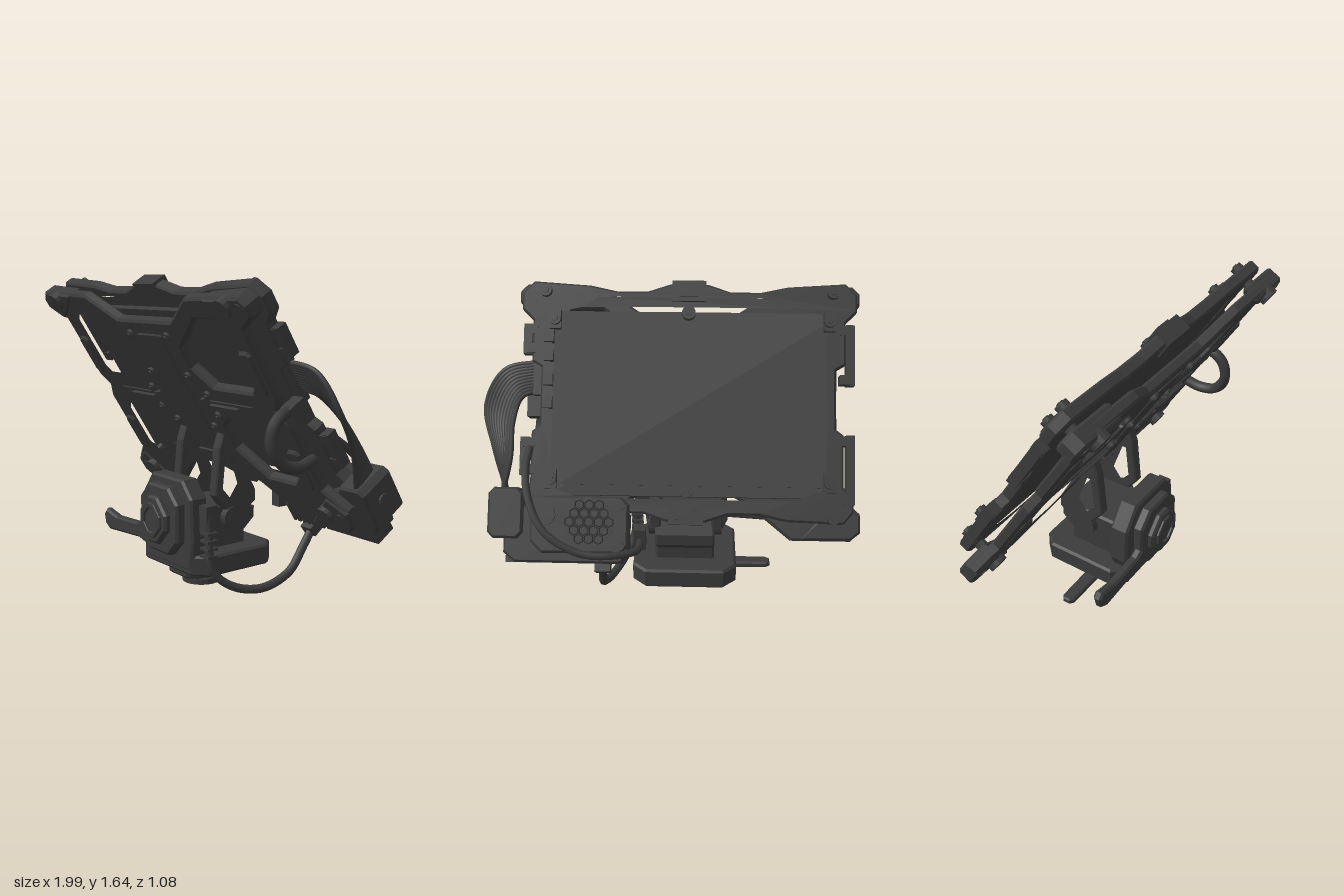
import * as THREE from 'three';

const graphite = new THREE.MeshStandardMaterial({ color: 0x3b3b3b, flatShading: true });
graphite.name = 'graphite';
const cableGrey = new THREE.MeshStandardMaterial({ color: 0x393939 });
cableGrey.name = 'cable grey';

function add(parent, name, geo, x = 0, y = 0, z = 0, mat = graphite) {
  const m = new THREE.Mesh(geo, mat);
  m.name = name;
  m.position.set(x, y, z);
  parent.add(m);
  return m;
}
const box = (p, name, w, h, d, x, y, z) => add(p, name, new THREE.BoxGeometry(w, h, d), x, y, z);

// cylinder along the chosen axis
function disc(p, name, r, len, axis, x, y, z, seg = 16) {
  const g = new THREE.CylinderGeometry(r, r, len, seg);
  if (axis === 'x') g.rotateZ(Math.PI / 2);
  if (axis === 'z') g.rotateX(Math.PI / 2);
  return add(p, name, g, x, y, z);
}

// bevelled plate from an outline, spanning z0..z1
function plate(p, name, pts, z0, z1, holes = [], bevel = 0.012) {
  const toV = a => a.map(q => new THREE.Vector2(q[0], q[1]));
  const s = new THREE.Shape(toV(pts));
  holes.forEach(h => s.holes.push(new THREE.Path(toV(h))));
  const g = new THREE.ExtrudeGeometry(s, {
    depth: z1 - z0 - 2 * bevel, bevelEnabled: true, bevelSize: bevel,
    bevelThickness: bevel, bevelOffset: -bevel, bevelSegments: 1,
  });
  g.translate(0, 0, z0 + bevel);
  return add(p, name, g);
}
const flip = h => h.map(([x, y]) => [-x, y]);
// right half of an outline -> whole outline
const mirror = h => [...h, ...flip(h).reverse()];
const chamferRect = (w, h, c) => [[w, h - c], [w - c, h], [c - w, h], [-w, h - c],
  [-w, c - h], [c - w, -h], [w - c, -h], [w, c - h]];

function cable(p, name, pts, r) {
  const c = new THREE.CatmullRomCurve3(pts.map(q => new THREE.Vector3(...q)));
  add(p, name, new THREE.TubeGeometry(c, 40, r, 8), 0, 0, 0, cableGrey);
}

function bolt(p, x, y, z, r, dir) {
  disc(p, 'bolt', r, 0.04, 'z', x, y, z, 14);
  disc(p, 'boltSocket', r * 0.5, 0.012, 'z', x, y, z + dir * 0.021, 6);
}

function buildPanel() {
  const g = new THREE.Group();
  g.name = 'tiltedPanel';

  // underside X-shaped frame with thicker corners
  const upper = [[0.62, 0.61], [0.46, 0.61], [0.22, 0.43], [0.22, 0.31], [0.32, 0.2], [0.62, 0.2], [0.66, 0.25], [0.66, 0.57]];
  const lower = [[0.62, 0], [0.3, 0], [0.24, -0.06], [0.24, -0.2], [0.4, -0.36], [0.6, -0.36], [0.66, -0.3], [0.66, -0.05]];
  plate(g, 'crossFrame', mirror([[0.24, 0.58], [0.45, 0.72], [0.87, 0.74], [0.91, 0.7], [0.91, 0.64],
    [0.79, 0.56], [0.79, 0.18], [0.74, 0.11], [0.79, 0.03], [0.79, -0.36], [0.91, -0.47], [0.91, -0.57],
    [0.86, -0.615], [0.55, -0.615], [0.31, -0.42], [0.2, -0.37], [0.13, -0.33]]), 0.095, 0.155,
    [upper, flip(upper), lower, flip(lower)]);
  const topCorner = [[0.6, 0.72], [0.87, 0.74], [0.91, 0.7], [0.91, 0.64], [0.8, 0.57], [0.7, 0.63]];
  const lowCorner = [[0.6, -0.61], [0.7, -0.5], [0.8, -0.4], [0.91, -0.48], [0.91, -0.57], [0.86, -0.61]];
  for (const c of [topCorner, lowCorner]) for (const o of [c, flip(c)])
    plate(g, 'cornerBlock', o, 0.07, 0.165);
  plate(g, 'spine', chamferRect(0.11, 0.385, 0.01), 0.145, 0.165, [], 0.004).position.y = 0.12;
  box(g, 'spineLatch', 0.17, 0.03, 0.02, 0, -0.25, 0.168);
  for (const s of [-1, 1]) {
    box(g, 'slideRail', 0.39, 0.055, 0.03, s * 0.385, 0.09, 0.148);
    box(g, 'slideBar', 0.22, 0.025, 0.02, s * 0.36, 0.09, 0.17);
    box(g, 'railStop', 0.03, 0.08, 0.04, s * 0.2, 0.09, 0.155);
    for (const y of [0.33, -0.24])
      plate(g, 'sidePad', chamferRect(0.045, 0.12, 0.02), 0.14, 0.17).position.set(s * 0.72, y, 0);
    for (const y of [0.5, 0.26, 0.15, 0.02, -0.06, -0.36])
      bolt(g, s * (y === 0.15 || y === 0.02 ? 0.25 : 0.165), y, 0.152, 0.025, 1);
    for (const y of [0.69, -0.51]) {
      disc(g, 'cornerBolt', 0.05, 0.06, 'z', s * 0.755, y, 0.16, 14);
      disc(g, 'cornerPin', 0.022, 0.02, 'z', s * 0.85, y, 0.16, 12);
      bolt(g, s * 0.755, y * 0.98, -0.03, 0.033, -1);
    }
    for (const y of [0.64, -0.46]) disc(g, 'standoff', 0.03, 0.13, 'z', s * 0.78, y, 0.05, 8);
  }

  // upper ring frame around the screen, with slotted top and bottom bars
  const slot = (x, y) => [[x - 0.07, y - 0.012], [x - 0.07, y + 0.012], [x + 0.07, y + 0.012], [x + 0.07, y - 0.012]];
  plate(g, 'ringFrame', mirror([[0.1, 0.72], [0.22, 0.68], [0.38, 0.68], [0.52, 0.71], [0.82, 0.73], [0.88, 0.67],
    [0.88, 0.58], [0.82, 0.52], [0.82, 0.3], [0.77, 0.27], [0.77, -0.04], [0.81, -0.07], [0.81, -0.34],
    [0.86, -0.4], [0.86, -0.47], [0.81, -0.53], [0.52, -0.52], [0.38, -0.49], [0.22, -0.49], [0.1, -0.53]]),
    -0.02, 0.045, [mirror([[0.2, 0.605], [0.55, 0.605], [0.71, 0.57], [0.735, 0.3], [0.735, -0.1], [0.71, -0.37],
      [0.55, -0.425], [0.2, -0.425]]), slot(0.42, 0.648), slot(-0.42, 0.648)], 0.01);
  for (const [y, s] of [[0.68, 1], [-0.49, -1]]) {
    box(g, 'centreBracket', 0.18, 0.11, 0.09, 0, y, 0.01);
    box(g, 'bracketCap', 0.1, 0.06, 0.012, 0, y, -0.04);
    bolt(g, 0, y - s * 0.12, -0.035, 0.036, -1);
  }
  // hooks down both sides
  for (const [s, y, h] of [[-1, 0.35, 0.32], [-1, -0.25, 0.36], [1, 0.42, 0.16], [1, -0.2, 0.2]]) {
    box(g, 'sideHook', 0.045, h, 0.055, s * 0.845, y, 0.01);
    for (const e of [-1, 1]) box(g, 'hookTooth', 0.06, 0.05, 0.065, s * 0.82, y + e * (h / 2 - 0.03), 0.01);
  }

  // screen
  box(g, 'screenBody', 1.47, 0.97, 0.055, -0.03, 0.085, 0.012);
  box(g, 'screenGlass', 1.38, 0.86, 0.006, -0.03, 0.085, -0.018);
  for (const x of [-0.735, 0.7]) for (const y of [0.52, -0.32]) {
    box(g, 'screenClip', 0.06, 0.1, 0.05, x, y, -0.02);
    bolt(g, x, y, -0.045, 0.032, -1);
  }
  for (const y of [0.43, 0.33, 0.2, 0.08]) box(g, 'sidePort', 0.05, 0.06, 0.05, 0.73, y, -0.02);

  // electronics housing with fan at the lower corner
  const house = new THREE.Group();
  house.name = 'electronicsHousing';
  house.position.x = 0.085;
  g.add(house);
  plate(house, 'housingBody', [[0.2, -0.5], [0.24, -0.46], [0.74, -0.46], [0.84, -0.52], [0.84, -0.7], [0.78, -0.75],
    [0.24, -0.75], [0.2, -0.7]], -0.08, 0.06);
  plate(house, 'fanPlate', [[0.2, -0.45], [0.24, -0.41], [0.64, -0.41], [0.7, -0.46], [0.7, -0.64], [0.64, -0.7],
    [0.24, -0.7], [0.2, -0.66]], -0.125, -0.07);
  disc(house, 'fanRim', 0.125, 0.012, 'z', 0.4, -0.54, -0.127, 24);
  for (let i = -2; i <= 2; i++) for (let j = -2; j <= 2; j++) {
    const x = (i + j / 2) * 0.05, y = j * 0.043;
    if (Math.hypot(x, y) < 0.11)
      add(house, 'grilleCell', new THREE.TorusGeometry(0.024, 0.005, 4, 6), 0.4 + x, -0.54 + y, -0.135).rotation.z = Math.PI / 6;
  }
  disc(house, 'dial', 0.05, 0.02, 'z', 0.62, -0.51, -0.13, 20);
  for (const [x, y] of [[0.24, -0.46], [0.24, -0.66], [0.58, -0.66]]) bolt(house, x, y, -0.12, 0.022, -1);
  for (let i = 0; i < 7; i++) box(house, 'ventFin', 0.018, 0.12, 0.04, 0.25 + i * 0.036, -0.67, 0.07);
  plate(house, 'endBox', chamferRect(0.09, 0.13, 0.03), -0.11, 0.1).position.set(0.83, -0.5, 0);
  disc(house, 'endKnob', 0.035, 0.02, 'x', 0.92, -0.5, 0, 16);
  box(house, 'endKey', 0.02, 0.05, 0.05, 0.87, -0.37, 0.05);
  box(house, 'lowerPort', 0.36, 0.1, 0.12, 0.65, -0.7, 0.01);

  g.position.set(-0.085, 1, 0);
  g.rotation.x = 0.56;
  return g;
}

function buildStand() {
  const g = new THREE.Group();
  g.name = 'clampStand';
  const cx = -0.08;
  // foot and base
  disc(g, 'foot', 0.105, 0.03, 'y', -0.067, 0.015, 0.085, 20);
  disc(g, 'footNeck', 0.085, 0.04, 'y', -0.067, 0.04, 0.085, 20);
  plate(g, 'baseCollar', chamferRect(0.125, 0.16, 0.05), 0.05, 0.11).rotation.x = -Math.PI / 2;
  g.children[2].position.set(-0.067, 0, 0.085);
  const base = plate(g, 'baseBlock', chamferRect(0.28, 0.265, 0.07), 0, 0.11);
  base.rotation.x = -Math.PI / 2;
  base.position.set(cx, 0.105, 0.035);

  // pivot housing, drawn side-on and extruded across x
  const body = plate(g, 'pivotHousing', [[-0.22, 0.2], [-0.2, 0.44], [0.08, 0.44], [0.17, 0.4], [0.17, 0.34], [0.1, 0.28], [0.1, 0.2]], -0.16, 0.16);
  body.rotation.y = Math.PI / 2;
  body.position.x = cx;
  for (const s of [-1, 1]) disc(g, 'pivotCap', 0.06, 0.06, 'x', cx + s * 0.17, 0.37, 0.01, 20);

  // front jaw with stacked octagonal plates
  const jaw = plate(g, 'frontJaw', [[0.14, 0.2], [0.22, 0.11], [0.23, -0.12], [0.21, -0.27], [-0.17, -0.27], [-0.24, -0.12],
    [-0.23, 0.08], [-0.14, 0.2]], 0.2, 0.305);
  jaw.position.set(cx, 0.4, 0);
  plate(g, 'jawPlate', chamferRect(0.17, 0.18, 0.08), 0.3, 0.36).position.set(cx, 0.38, 0);
  const d = mirror([[0.12, -0.04], [0.12, 0.04], [0.04, 0.125]]).concat([[-0.04, -0.125], [0.04, -0.125]]);
  const scaled = k => d.map(q => [q[0] * k, q[1] * k]);
  plate(g, 'jawCap', d, 0.355, 0.397).position.set(cx, 0.38, 0);
  plate(g, 'capRim', scaled(0.72), 0.39, 0.41, [scaled(0.5)], 0.004).position.set(cx, 0.38, 0);

  // two levers
  plate(g, 'upperLever', [[-0.635, 0.3], [-0.61, 0.33], [-0.5, 0.305], [-0.29, 0.315], [-0.18, 0.38], [-0.1, 0.38],
    [-0.1, 0.2], [-0.16, 0.205], [-0.28, 0.235], [-0.58, 0.215], [-0.62, 0.24]], 0.31, 0.36);
  const lever = plate(g, 'lowerLever', [[-0.56, -0.02], [-0.54, -0.035], [-0.15, -0.04], [-0.15, 0.04], [-0.54, 0.035], [-0.56, 0.02]], 0, 0.035, [], 0.008);
  lever.rotation.x = -Math.PI / 2;
  lever.position.set(0, 0.06, 0.085);

  // twin arms carrying the panel
  for (const x of [-0.25, 0.08]) {
    const arm = plate(g, 'supportArm', [[-0.125, 0.5], [-0.1, 0.75], [-0.07, 0.84], [-0.01, 0.84], [0.03, 0.72], [0.15, 0.5], [0.15, 0.44], [0.05, 0.38], [-0.06, 0.42]],
      -0.03, 0.03, [[[-0.085, 0.53], [-0.065, 0.72], [-0.03, 0.72], [0.03, 0.55], [-0.03, 0.47]]], 0.008);
    arm.rotation.y = Math.PI / 2;
    arm.position.x = x;
  }
  box(g, 'cableSocket', 0.07, 0.14, 0.07, 0.17, 0.41, 0.22);
  return g;
}

export function createModel() {
  const model = new THREE.Group();
  model.name = 'tiltedScreenOnStand';
  model.add(buildPanel(), buildStand());

  const cables = new THREE.Group();
  cables.name = 'cables';
  model.add(cables);
  // lead from the stand to the housing
  cable(cables, 'baseLead', [[0.18, 0.45, 0.23], [0.2, 0.33, 0.235], [0.22, 0.15, 0.23], [0.27, 0.06, 0.14],
    [0.33, 0.035, -0.01], [0.36, 0.1, -0.17], [0.35, 0.22, -0.28], [0.34, 0.33, -0.37]], 0.023);
  box(cables, 'leadPlug', 0.08, 0.1, 0.06, 0.34, 0.32, -0.36).rotation.x = -0.9;
  for (let i = 0; i < 4; i++) box(cables, 'strainRib', 0.065, 0.014, 0.065, 0.2, 0.22 + i * 0.04, 0.235);
  // lead arching over the fan
  cable(cables, 'archLead', [[0.15, 0.45, -0.28], [0.16, 0.46, -0.42], [0.28, 0.47, -0.49], [0.44, 0.49, -0.505], [0.62, 0.58, -0.455],
    [0.71, 0.7, -0.34], [0.74, 0.81, -0.2], [0.73, 0.88, -0.1]], 0.02);
  box(cables, 'archPlug', 0.06, 0.12, 0.07, 0.15, 0.46, -0.29);
  // loop beside the panel
  cable(cables, 'sideLoop', [[0.73, 1.0, 0.12], [0.73, 1.02, 0.19], [0.73, 0.97, 0.26], [0.73, 0.87, 0.28],
    [0.74, 0.78, 0.22], [0.74, 0.755, 0.12], [0.73, 0.78, 0.02]], 0.03);
  box(cables, 'loopPlug', 0.07, 0.12, 0.1, 0.73, 1.01, 0.13).rotation.x = 0.56;
  // ribbon of parallel wires
  const outer = [[0.68, 1.25, 0.17], [0.88, 1.21, 0.15], [0.985, 1.03, 0.1], [0.93, 0.84, -0.04], [0.86, 0.64, -0.14]];
  const inner = [[0.68, 1.12, 0.09], [0.78, 1.1, 0.05], [0.82, 1.0, -0.05], [0.82, 0.86, -0.17], [0.86, 0.68, -0.26]];
  for (let i = 0; i < 11; i++) {
    const t = i / 10;
    cable(cables, 'ribbonWire', outer.map((a, k) => a.map((v, c) => v + (inner[k][c] - v) * t)), 0.014);
  }
  box(cables, 'ribbonPlug', 0.07, 0.2, 0.05, 0.69, 1.18, 0.13).rotation.x = 0.56;
  return model;
}
